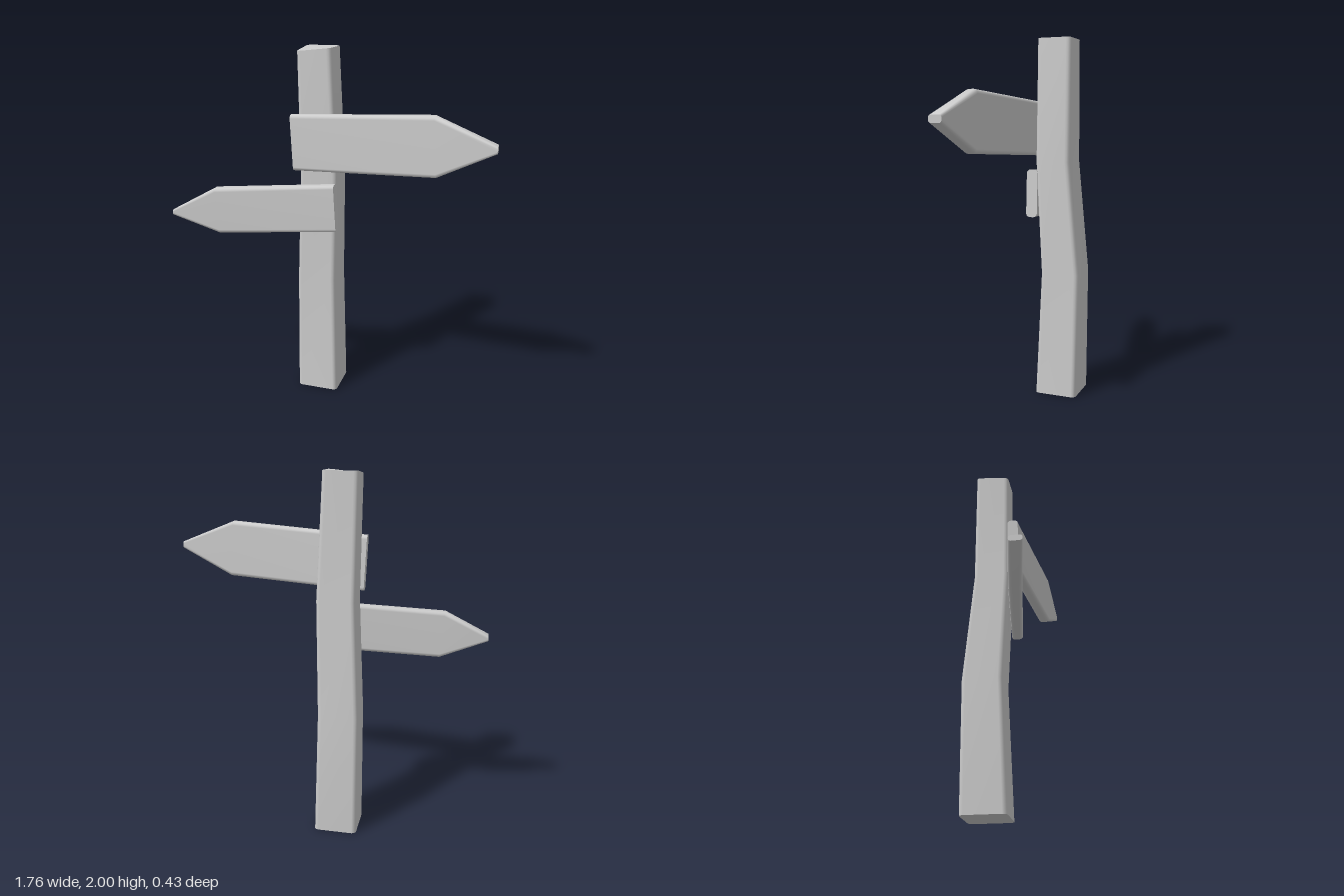
import * as THREE from 'three';

const V = (x, y, z) => new THREE.Vector3(x, y, z);

// Ring of points around a four-cornered section, with rounded corners
function roundedRing(corners, r, steps = 3) {
  const ring = [];
  corners.forEach((p, i) => {
    const toPrev = corners[(i + 3) % 4].clone().sub(p).setLength(r);
    const toNext = corners[(i + 1) % 4].clone().sub(p).setLength(r);
    for (let k = 0; k <= steps; k++) {
      const a = (k / steps) * Math.PI / 2;
      ring.push(p.clone()
        .addScaledVector(toPrev, 1 - Math.sin(a))
        .addScaledVector(toNext, 1 - Math.cos(a)));
    }
  });
  return ring;
}

// Skin the rings with smooth sides and flat, separate end caps
function loft(rings) {
  const n = rings[0].length, pos = [], index = [];
  const add = (p) => pos.push(p.x, p.y, p.z) / 3 - 1;
  rings.forEach((ring) => ring.forEach(add));
  for (let i = 0; i < rings.length - 1; i++) {
    for (let j = 0; j < n; j++) {
      const a = i * n + j, b = i * n + (j + 1) % n;
      index.push(a, b, b + n, a, b + n, a + n);
    }
  }
  [rings[0], rings[rings.length - 1]].forEach((ring, end) => {
    const centre = ring.reduce((s, p) => s.add(p), V(0, 0, 0)).divideScalar(n);
    const c = add(centre);
    ring.forEach(add);
    for (let j = 0; j < n; j++) {
      const a = c + 1 + j, b = c + 1 + (j + 1) % n;
      if (end) index.push(c, a, b); else index.push(c, b, a);
    }
  });
  const g = new THREE.BufferGeometry();
  g.setAttribute('position', new THREE.Float32BufferAttribute(pos, 3));
  g.setIndex(index);
  g.computeVertexNormals();
  return g;
}

// Board section: top x, y and bottom x, y, middle z, half thickness, edge radius
const boardRing = ([xt, yt, xb, yb, z, h, r]) => roundedRing(
  [V(xt, yt, z - h), V(xt, yt, z + h), V(xb, yb, z + h), V(xb, yb, z - h)], r);

export function createModel() {
  const group = new THREE.Group();
  const grey = new THREE.MeshStandardMaterial({ color: 0xcccccc });
  const part = (name, rings) => {
    const mesh = new THREE.Mesh(loft(rings), grey);
    mesh.name = name;
    group.add(mesh);
  };

  // Crooked tapering post: y, x range, z range, dip of the front left-hand corner
  part('post', [
    [0, -0.21, 0.03, -0.21, 0.03, 0],
    [0.7, -0.213, 0.01, -0.215, 0.003, 0],
    [1.33, -0.182, 0.028, -0.165, 0.028, 0],
    [2, -0.192, -0.005, -0.16, 0.03, 0.02],
  ].map(([y, x0, x1, z0, z1, dip]) => roundedRing(
    [V(x0, y - dip, z1), V(x1, y, z1), V(x1, y, z0), V(x0, y, z0)], 0.024)));

  // Upper arrow board, pointing to +x
  part('upperBoard', [
    [-0.212, 1.657, -0.197, 1.355, 0.06, 0.03, 0.02],
    [0.567, 1.705, 0.587, 1.395, 0.142, 0.035, 0.022],
    [0.88, 1.58, 0.88, 1.543, 0.166, 0.034, 0.012],
  ].map(boardRing));

  // Lower arrow board, pointing to -x
  part('lowerBoard', [
    [-0.88, 1.108, -0.88, 1.078, 0.18, 0.034, 0.012],
    [-0.637, 1.242, -0.617, 0.98, 0.138, 0.035, 0.022],
    [0.025, 1.287, 0.04, 1.022, 0.047, 0.032, 0.02],
  ].map(boardRing));

  return group;
}
